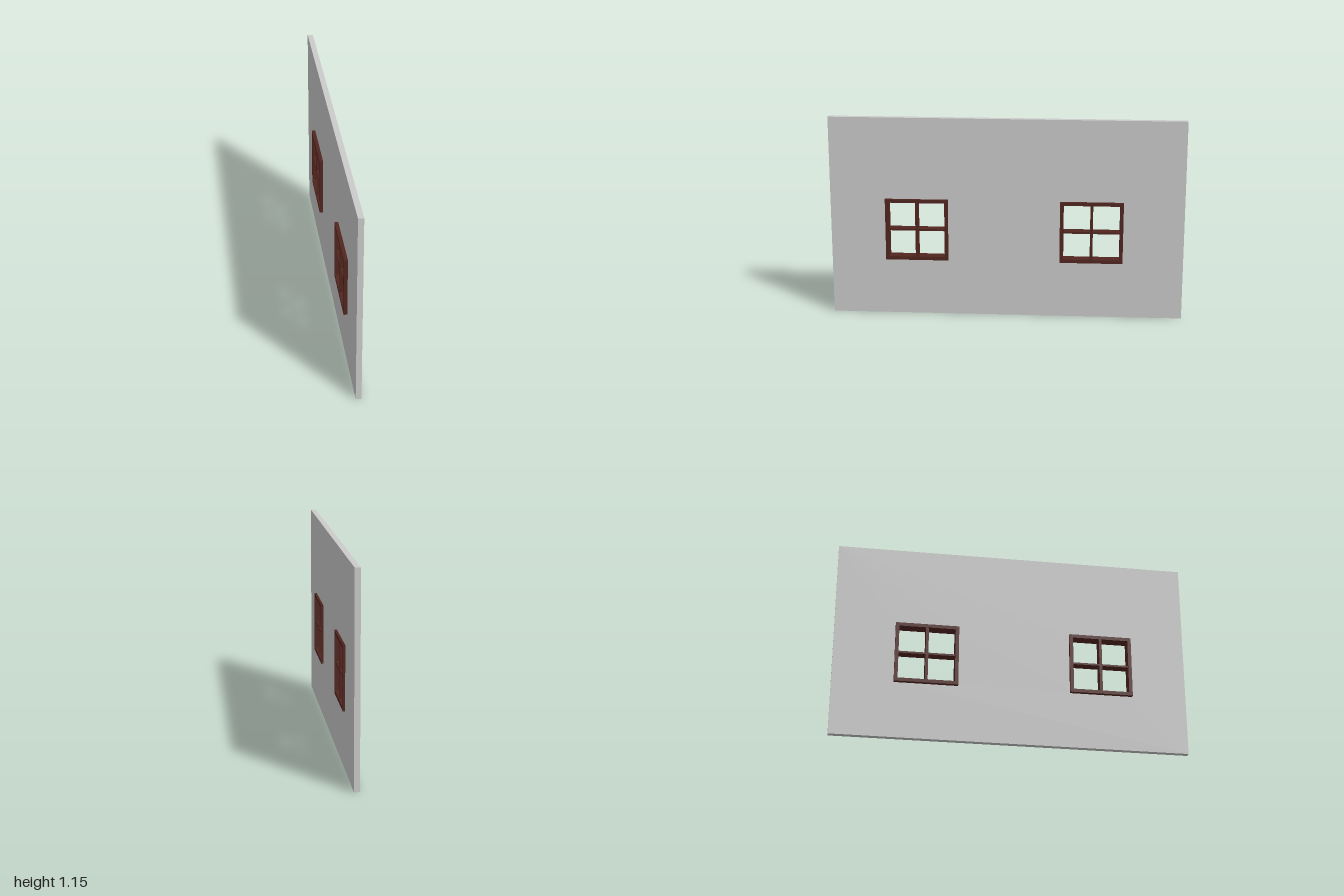
import * as THREE from 'three';

const WALL = { x0: -0.012, x1: 0.019, height: 1.15, length: 2 };
const FRAME = { x0: -0.033, x1: 0.032, size: 0.357, border: 0.02 };
const BAR = { x0: -0.029, x1: 0.028 };
const WINDOW_Y = 0.503;
const WINDOW_Z = [0.51, -0.48];

// Adds a closed rectangle (centre, width, height) to a shape or path
function rect(path, cx, cy, w, h) {
  path.moveTo(cx - w / 2, cy - h / 2);
  path.lineTo(cx + w / 2, cy - h / 2);
  path.lineTo(cx + w / 2, cy + h / 2);
  path.lineTo(cx - w / 2, cy + h / 2);
  path.closePath();
  return path;
}

// Extrudes a shape drawn in (-z, y) along x, from x0 to x1
function slab(shape, x0, x1) {
  const geo = new THREE.ExtrudeGeometry(shape, { depth: x1 - x0, bevelEnabled: false });
  geo.rotateY(Math.PI / 2);
  geo.translate(x0, 0, 0);
  return geo;
}

function addMesh(parent, name, geometry, material) {
  const mesh = new THREE.Mesh(geometry, material);
  mesh.name = name;
  parent.add(mesh);
  return mesh;
}

export function createModel() {
  const model = new THREE.Group();
  model.name = 'wallWithWindows';
  const grey = new THREE.MeshStandardMaterial({ color: 0xcccccc });
  const wood = new THREE.MeshStandardMaterial({ color: 0x52261f });

  // Wall panel with an opening for each window
  const wallShape = rect(new THREE.Shape(), 0, WALL.height / 2, WALL.length, WALL.height);
  const opening = FRAME.size - FRAME.border;
  for (const z of WINDOW_Z) {
    wallShape.holes.push(rect(new THREE.Path(), -z, WINDOW_Y, opening, opening));
  }
  addMesh(model, 'wall', slab(wallShape, WALL.x0, WALL.x1), grey);

  // Window: square frame with a cross of glazing bars
  const inner = FRAME.size - 2 * FRAME.border;
  const frameShape = rect(new THREE.Shape(), 0, 0, FRAME.size, FRAME.size);
  frameShape.holes.push(rect(new THREE.Path(), 0, 0, inner, inner));
  const frameGeo = slab(frameShape, FRAME.x0, FRAME.x1);
  const depth = BAR.x1 - BAR.x0;
  const barX = (BAR.x0 + BAR.x1) / 2;
  const uprightGeo = new THREE.BoxGeometry(depth, inner, 0.016).translate(barX, 0, 0);
  const crossGeo = new THREE.BoxGeometry(depth - 0.002, 0.011, inner).translate(barX, 0, 0);

  WINDOW_Z.forEach((z, i) => {
    const win = new THREE.Group();
    win.name = i === 0 ? 'frontWindow' : 'backWindow';
    win.position.set(0, WINDOW_Y, z);
    addMesh(win, 'windowFrame', frameGeo, wood);
    addMesh(win, 'uprightBar', uprightGeo, wood);
    addMesh(win, 'crossBar', crossGeo, wood);
    model.add(win);
  });

  return model;
}
